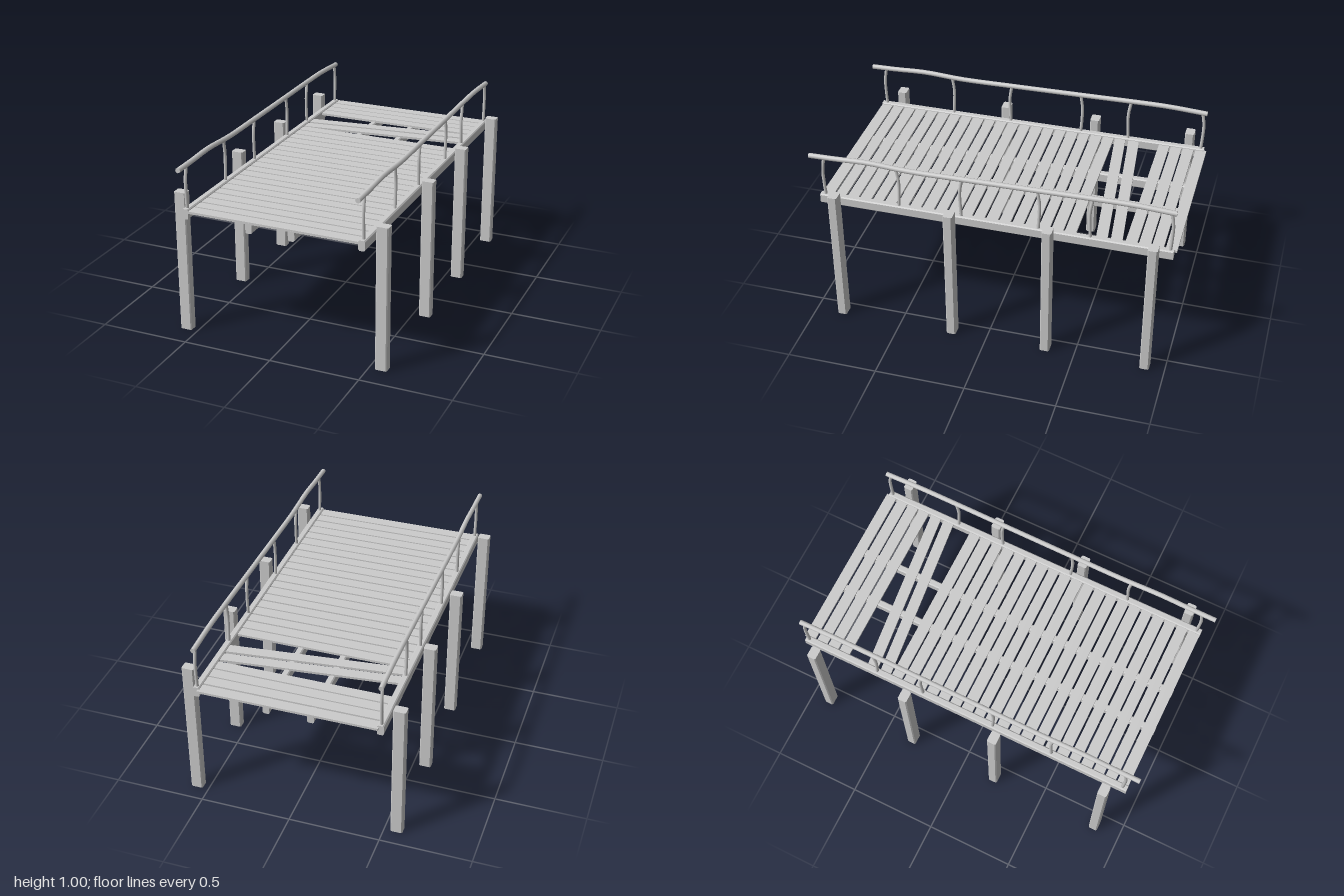
import * as THREE from 'three';

const material = new THREE.MeshStandardMaterial({ color: 0xcccccc });

// Timber with chamfered long edges, running along z from 0 to length
function timber(w, h, length, c = 0.006) {
  const x = w / 2, y = h / 2;
  const shape = new THREE.Shape([
    [-x + c, -y], [x - c, -y], [x, -y + c], [x, y - c],
    [x - c, y], [-x + c, y], [-x, y - c], [-x, -y + c],
  ].map(([a, b]) => new THREE.Vector2(a, b)));
  return new THREE.ExtrudeGeometry(shape, { depth: length, bevelEnabled: false });
}

// Round bar through [y, z] points at a fixed x, closed at both ends
function bar(parent, name, x, points, radius, segments) {
  const curve = new THREE.CatmullRomCurve3(points.map(([y, z]) => new THREE.Vector3(x, y, z)));
  add(parent, name, new THREE.TubeGeometry(curve, segments, radius, 8));
  for (const t of [0, 1]) {
    const cap = add(parent, name + 'Cap', new THREE.CircleGeometry(radius, 8));
    const p = curve.getPoint(t);
    cap.position.copy(p);
    cap.lookAt(p.clone().addScaledVector(curve.getTangent(t), t ? 1 : -1));
  }
}

function add(parent, name, geometry, x = 0, y = 0, z = 0) {
  const mesh = new THREE.Mesh(geometry, material);
  mesh.name = name;
  mesh.position.set(x, y, z);
  parent.add(mesh);
  return mesh;
}

export function createModel() {
  const model = new THREE.Group();
  model.name = 'woodenPier';

  // Support posts
  const postGeometry = timber(0.066, 0.052, 0.8).rotateX(-Math.PI / 2);
  for (const side of [-1, 1]) {
    for (const z of [0.845, 0.2, -0.335, -0.89]) add(model, 'post', postGeometry, side * 0.567, 0, z);
  }

  // Edge beams and inner joists
  const beamGeometry = timber(0.036, 0.056, 1.935);
  for (const x of [-0.492, 0.492]) add(model, 'edgeBeam', beamGeometry, x, 0.721, -0.985);
  for (const x of [-0.127, 0.111]) add(model, 'joist', beamGeometry, x, 0.704, -0.985);

  // Deck boards: a short run at the back, a gap with two skewed boards, a long run to the front
  const deck = new THREE.Group();
  deck.name = 'deck';
  model.add(deck);
  const board = (z, width = 0.061, skew = 0) => {
    const geometry = new THREE.BoxGeometry(0.965, 0.013, width);
    const p = geometry.attributes.position;
    for (let i = 0; i < p.count; i++) p.setZ(i, p.getZ(i) - p.getX(i) * skew);
    geometry.computeVertexNormals();
    add(deck, skew ? 'looseBoard' : 'board', geometry, 0, 0.733, z);
  };
  [-0.969, -0.897, -0.828, -0.758].forEach((z) => board(z));
  for (const z of [-0.631, -0.552]) board(z, 0.061, 0.106);
  for (let i = 0; i < 20; i++) board(-0.434 + i * 0.0711, 0.061 + 0.003 * Math.sin(i * 2.4));

  // Railings: gently wavy handrail on slightly crooked balusters
  for (const side of [-1, 1]) {
    const railing = new THREE.Group();
    railing.name = side > 0 ? 'leftRailing' : 'rightRailing';
    model.add(railing);
    const x = side * 0.492;
    bar(railing, 'handrail', x, [
      [0.98, 1], [0.983, 0.85], [0.99, 0.68], [0.978, 0.45], [0.98, 0.15],
      [0.985, -0.25], [0.99, -0.6], [0.99, -0.76], [0.978, -0.985],
    ], 0.014, 32);
    [0.922, 0.505, 0.155, -0.265, -0.545, -0.965].forEach((z, i) => {
      const bend = i % 2 ? -0.006 : 0.006;
      bar(railing, 'baluster', x, [
        [0.74, z], [0.82, z + bend * 0.8], [0.9, z + bend], [0.98, z - bend],
      ], 0.009, 8);
    });
  }

  return model;
}
